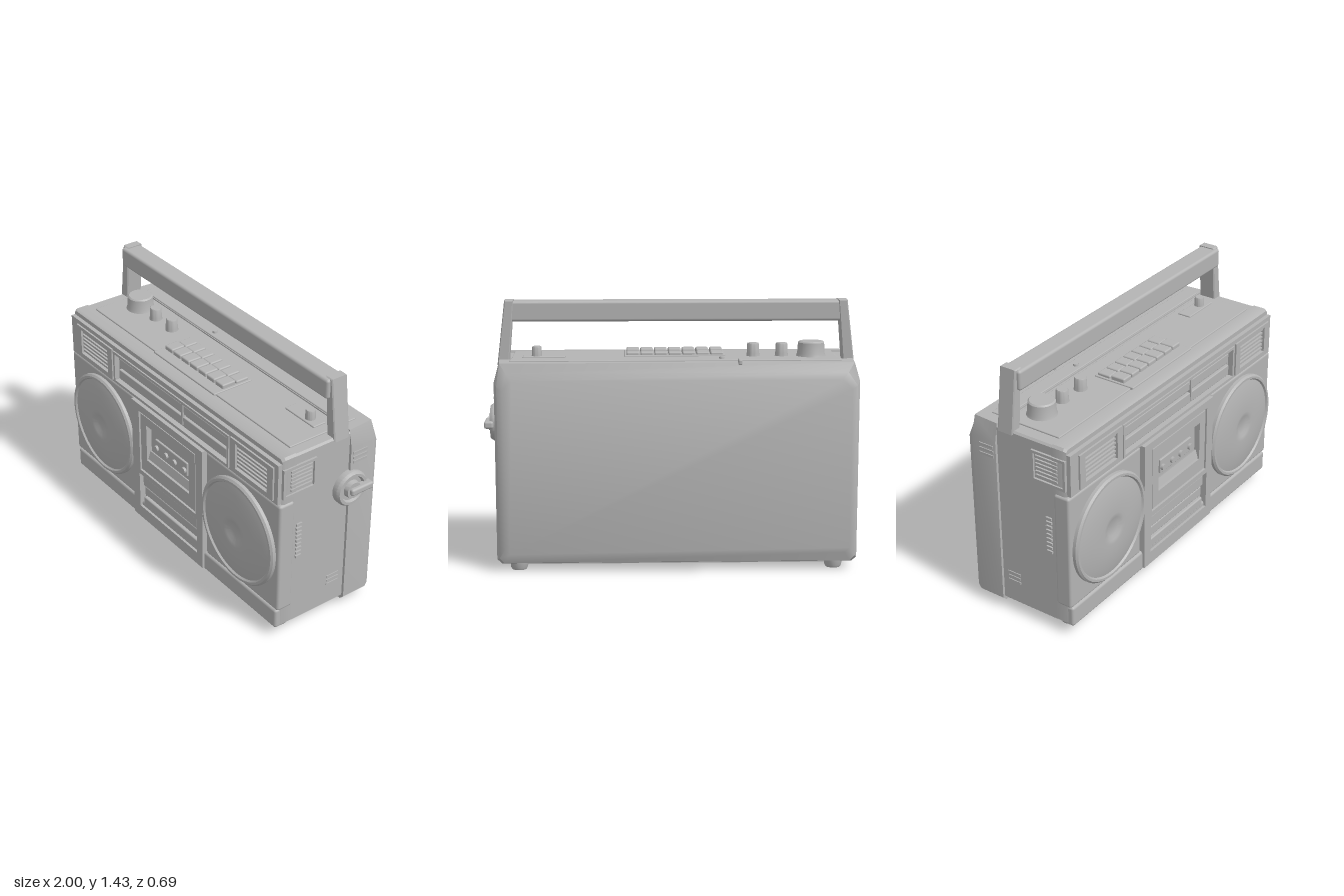
import * as THREE from 'three';
import { toCreasedNormals } from 'three/addons/utils/BufferGeometryUtils.js';
import { RoundedBoxGeometry } from 'three/addons/geometries/RoundedBoxGeometry.js';

const CX = -0.025; // middle of the case; the side dial fills the rest of the width

export function createModel() {
  const root = new THREE.Group();
  root.name = 'portableStereo';
  const grey = new THREE.MeshStandardMaterial({ color: 0xb4b4b4 });
  grey.name = 'plainGrey';

  const add = (name, geo, x = 0, y = 0, z = 0, parent = root) => {
    const m = new THREE.Mesh(geo, grey);
    m.name = name;
    m.position.set(x, y, z);
    parent.add(m);
    return m;
  };
  // Box given by its bounds, with optional rounded edges
  const box = (name, x0, x1, y0, y1, z0, z1, r = 0) => {
    const w = x1 - x0, h = y1 - y0, d = z1 - z0;
    const g = r ? new RoundedBoxGeometry(w, h, d, 2, r) : new THREE.BoxGeometry(w, h, d);
    return add(name, g, (x0 + x1) / 2, (y0 + y1) / 2, (z0 + z1) / 2);
  };
  const rectPath = (target, x0, x1, y0, y1) => {
    target.moveTo(x0, y0); target.lineTo(x1, y0);
    target.lineTo(x1, y1); target.lineTo(x0, y1); target.closePath();
    return target;
  };
  // Flat frame in the xy plane with rectangular holes
  const frame = (name, outer, holes, z0, z1) => {
    const s = rectPath(new THREE.Shape(), ...outer);
    holes.forEach(h => s.holes.push(rectPath(new THREE.Path(), ...h)));
    return add(name, new THREE.ExtrudeGeometry(s, { depth: z1 - z0, bevelEnabled: false }), 0, 0, z0);
  };
  // Skin over cut-corner rectangles: [z, halfWidth, y0, y1, cornerX, cornerY]
  const loft = (name, sections) => {
    const pos = [], idx = [], n = 8;
    sections.forEach(([z, w, y0, y1, cx, cy]) => {
      const b = 0.025;
      [[w - b, y0], [w, y0 + b], [w, y1 - cy], [w - cx, y1],
        [cx - w, y1], [-w, y1 - cy], [-w, y0 + b], [b - w, y0]]
        .forEach(([x, y]) => pos.push(x + CX, y, z));
    });
    for (let i = 0; i < sections.length - 1; i++) {
      for (let j = 0; j < n; j++) {
        const a = i * n + j, b = i * n + (j + 1) % n;
        idx.push(a, b, b + n, a, b + n, a + n);
      }
    }
    const last = (sections.length - 1) * n;
    for (let j = 1; j < n - 1; j++) {
      idx.push(0, j + 1, j);
      idx.push(last, last + j, last + j + 1);
    }
    const g = new THREE.BufferGeometry();
    g.setAttribute('position', new THREE.Float32BufferAttribute(pos, 3));
    g.setIndex(idx);
    return add(name, toCreasedNormals(g, 0.6));
  };
  const lathe = (pts, seg = 40) => toCreasedNormals(
    new THREE.LatheGeometry(pts.map(p => new THREE.Vector2(...p)), seg), 0.6);

  // Case: back shell, middle and front
  loft('backShell', [
    [-0.345, 0.92, 0.1, 1.035, 0.05, 0.05], [-0.325, 0.95, 0.05, 1.07, 0.05, 0.07],
    [-0.295, 0.965, 0.04, 1.12, 0.03, 0.1], [-0.145, 0.965, 0.04, 1.12, 0.02, 0.1]]);
  loft('middleCase', [
    [-0.146, 0.95, 0.045, 1.112, 0.01, 0.01], [0.2, 0.95, 0.045, 1.112, 0.01, 0.01]]);
  loft('frontCase', [
    [0.2, 0.953, 0.05, 1.118, 0.012, 0.012], [0.27, 0.953, 0.05, 1.118, 0.012, 0.012],
    [0.285, 0.945, 0.06, 1.11, 0.012, 0.012]]);
  box('basePlate', -0.9, 0.85, 0.02, 0.06, -0.24, 0.22);
  box('lowerBand', -0.975, 0.925, 0.06, 0.178, 0.24, 0.308, 0.015);

  // Upper front band: frame around the vents and the tuner
  const ventX = [[-0.86, -0.59], [0.585, 0.845]];
  const tuner = [-0.52, 0.51, 0.875, 1.04];
  frame('upperBand', [-0.97, 0.92, 0.85, 1.085],
    [...ventX.map(([a, b]) => [a, b, 0.89, 1.04]), tuner], 0.27, 0.308);
  ventX.forEach(([a, b]) => {
    frame('ventFrame', [a - 0.045, b + 0.045, 0.865, 1.06], [[a, b, 0.89, 1.04]], 0.3, 0.318);
    for (let i = 0; i < 6; i++) {
      const y = 0.905 + i * 0.024;
      box('ventSlat', a, b, y - 0.006, y + 0.006, 0.28, 0.306);
    }
  });
  frame('tunerFrame', [-0.535, 0.525, 0.86, 1.055], [tuner], 0.3, 0.316);
  box('tunerScale', -0.5, 0.49, 0.965, 1.02, 0.28, 0.298, 0.005);
  box('tunerRail', -0.5, 0.49, 0.89, 0.95, 0.28, 0.302, 0.005);
  box('tunerNeedle', 0.1, 0.112, 0.9, 1.03, 0.28, 0.306);

  // Speakers on their side panels
  const cone = lathe([[0.305, 0], [0.305, 0.02], [0.295, 0.03], [0.282, 0.03], [0.275, 0.02],
    [0.23, 0.031], [0.16, 0.038], [0.09, 0.042], [0.065, 0.04], [0.045, 0.03], [0, 0.035]], 56);
  cone.rotateX(Math.PI / 2);
  for (const s of [-1, 1]) {
    const a = CX + s * 0.34, b = CX + s * 0.962;
    box('speakerPanel', Math.min(a, b), Math.max(a, b), 0.18, 0.845, 0.21, 0.305, 0.015);
    add('speaker', cone, CX + s * 0.635, 0.512, 0.303);
  }

  // Cassette bay
  frame('cassettePanel', [-0.355, 0.305, 0.075, 0.84],
    [[-0.285, 0.245, 0.405, 0.795], [-0.295, 0.255, 0.15, 0.375]], 0.27, 0.322);
  frame('cassetteDoor', [-0.275, 0.235, 0.415, 0.785], [[-0.22, 0.18, 0.5, 0.73]], 0.27, 0.318);
  const sill = box('doorSill', -0.22, 0.18, 0.5, 0.55, 0.27, 0.302);
  sill.rotation.x = -0.3;
  box('cassette', -0.17, 0.13, 0.575, 0.66, 0.28, 0.296, 0.005);
  const hub = new THREE.CylinderGeometry(0.018, 0.018, 0.02, 14).rotateX(Math.PI / 2);
  [-0.15, -0.06, 0.02, 0.11].forEach(x => add('cassetteHub', hub, x, 0.61, 0.3));
  [[0.16, 0.215, 0.308], [0.225, 0.285, 0.3], [0.295, 0.365, 0.31]].forEach(([y0, y1, z]) =>
    box('lowerCassetteStrip', -0.28, 0.24, y0, y1, 0.27, z, 0.008));

  // Top deck: raised borders, keys and knobs
  box('deckPlate', -0.9, 0.86, 1.1, 1.12, -0.13, 0.19, 0.005);
  box('rearDeckStrip', -0.9, 0.86, 1.1, 1.127, -0.235, -0.15, 0.005);
  box('keyBed', -0.295, 0.255, 1.1, 1.127, -0.04, 0.205, 0.005);
  for (let i = 0; i < 7; i++) {
    const x = -0.283 + i * 0.076;
    box('pianoKey', x, x + 0.069, 1.11, 1.15, 0.055, 0.14, 0.008);
    box('pianoKeyBack', x, x + 0.069, 1.11, 1.142, -0.03, 0.05, 0.008);
  }
  const knob = (name, x, z, r, top) => {
    add(name, lathe([[r * 1.1, 0], [r, 0.02], [r * 0.95, top - 1.122], [r * 0.85, top - 1.115],
      [0, top - 1.115]], 28), x, 1.115, z);
  };
  knob('volumeKnob', -0.76, -0.025, 0.075, 1.2);
  knob('toneKnob', -0.6, -0.02, 0.034, 1.19);
  knob('toneKnob', -0.445, -0.02, 0.034, 1.19);
  box('selectorPlate', 0.57, 0.8, 1.11, 1.128, -0.09, -0.01, 0.005);
  knob('selectorKnob', 0.725, -0.05, 0.027, 1.18);
  knob('aerialStud', -0.265, -0.185, 0.014, 1.138);
  box('aerialClip', -0.365, -0.345, 1.11, 1.138, -0.32, -0.25, 0.006);

  // Carrying handle
  box('handleBar', -0.93, 0.88, 1.32, 1.43, -0.13, -0.018, 0.015);
  for (const s of [-1, 1]) {
    const shape = new THREE.Shape([[0.951, 1.095], [0.91, 1.43], [0.872, 1.43], [0.9, 1.095]]
      .map(([x, y]) => new THREE.Vector2(CX + s * x, y)));
    add('handlePost', new THREE.ExtrudeGeometry(shape, {
      depth: 0.085, bevelThickness: 0.006, bevelSize: 0.005, bevelSegments: 1 }), 0, 0, -0.129);
  }

  // Side vents and slots, mirrored on both ends
  for (const s of [-1, 1]) {
    const side = (name, inner, outer, y0, y1, z0, z1) => {
      const a = CX + s * inner, b = CX + s * outer;
      box(name, Math.min(a, b), Math.max(a, b), y0, y1, z0, z1);
    };
    for (const [y0, y1] of [[0.88, 0.895], [1.04, 1.055]]) side('sideVentRim', 0.94, 0.962, y0, y1, 0.075, 0.285);
    for (const [z0, z1] of [[0.075, 0.09], [0.27, 0.285]]) side('sideVentRim', 0.94, 0.962, 0.88, 1.055, z0, z1);
    for (let i = 0; i < 6; i++) side('sideVentSlat', 0.94, 0.96, 0.91 + i * 0.022, 0.921 + i * 0.022, 0.1, 0.235);
    for (let i = 0; i < 9; i++) side('socketRidge', 0.94, 0.96, 0.475 + i * 0.025, 0.489 + i * 0.025, 0.155, 0.19);
    for (let i = 0; i < 3; i++) {
      side('rearVentSlat', 0.95, 0.97, 0.925 + i * 0.027, 0.938 + i * 0.027, -0.25, -0.16);
      side('lowVentSlat', 0.94, 0.955, 0.19 + i * 0.025, 0.202 + i * 0.025, -0.11, -0.03);
    }
  }

  // Tuning dial with its lever on the left end
  add('tuningDial', lathe([[0.1, 0], [0.1, 0.03], [0.09, 0.045], [0.075, 0.045], [0.068, 0.03],
    [0.05, 0.03], [0.045, 0.055], [0, 0.055]], 36).rotateZ(-Math.PI / 2), 0.925, 0.785, -0.145);
  box('dialLever', 0.95, 1.0, 0.765, 0.805, -0.26, -0.115, 0.012);

  // Feet
  const foot = lathe([[0, 0], [0.04, 0], [0.046, 0.012], [0.05, 0.06]], 20);
  for (const x of [-0.87, 0.825]) for (const z of [0.2, -0.25]) add('foot', foot, x, 0, z);

  return root;
}
